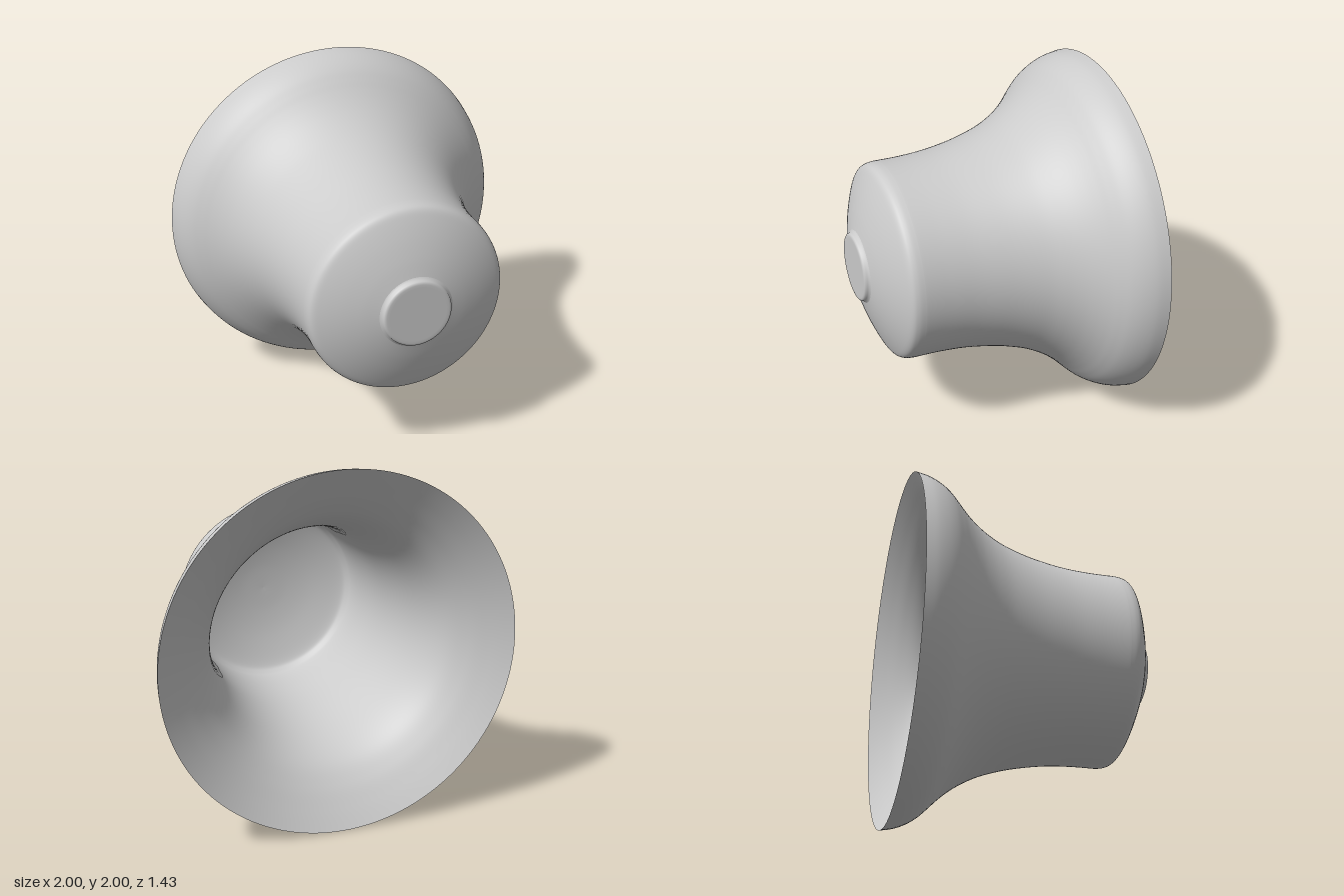
import * as THREE from 'three';

const material = new THREE.MeshStandardMaterial({ color: 0xcccccc, side: THREE.DoubleSide });

// Turn a [radius, z] profile around the z axis, centred at height 1
function turned(name, points) {
  const geometry = new THREE.LatheGeometry(points, 128);
  geometry.rotateX(Math.PI / 2);
  const mesh = new THREE.Mesh(geometry, material);
  mesh.name = name;
  mesh.position.y = 1;
  return mesh;
}

const toPoints = (list) => list.map(([r, z]) => new THREE.Vector2(r, z));
const smooth = (list, divisions) => new THREE.SplineCurve(toPoints(list)).getPoints(divisions);

export function createModel() {
  const group = new THREE.Group();
  group.name = 'bell';

  // Outer wall: rounded lip, flare and straight barrel
  const flare = smooth([
    [1.0, -0.715], [0.986, -0.645], [0.96, -0.583], [0.925, -0.53], [0.88, -0.483], [0.835, -0.44], [0.79, -0.392],
    [0.745, -0.335], [0.7, -0.263], [0.658, -0.175], [0.62, -0.06], [0.592, 0.06], [0.57, 0.2], [0.56, 0.35], [0.559, 0.49],
  ], 90);

  // Rounded shoulder and shallow domed crown
  const crown = smooth([
    [0.559, 0.49], [0.554, 0.53], [0.537, 0.561], [0.49, 0.588], [0.4, 0.626], [0.3, 0.66], [0.207, 0.685],
  ], 40);
  group.add(turned('outerWall', [...flare, ...crown.slice(1)]));

  // Inner wall: shallow domed end, bore and wide funnel meeting the lip at a sharp edge
  group.add(turned('innerWall', smooth([
    [0, 0.645], [0.15, 0.638], [0.3, 0.615], [0.46, 0.57], [0.51, 0.535], [0.528, 0.47], [0.535, 0.25],
    [0.552, 0.0], [0.586, -0.2], [0.633, -0.36], [0.7, -0.483], [0.795, -0.575], [0.9, -0.65], [1.0, -0.715],
  ], 90)));

  // Small raised disc closing the crown
  group.add(turned('crownBoss', toPoints([
    [0.207, 0.685], [0.198, 0.691], [0.194, 0.7], [0.191, 0.709], [0.185, 0.714], [0.176, 0.716], [0.16, 0.716], [0, 0.716],
  ])));

  return group;
}
